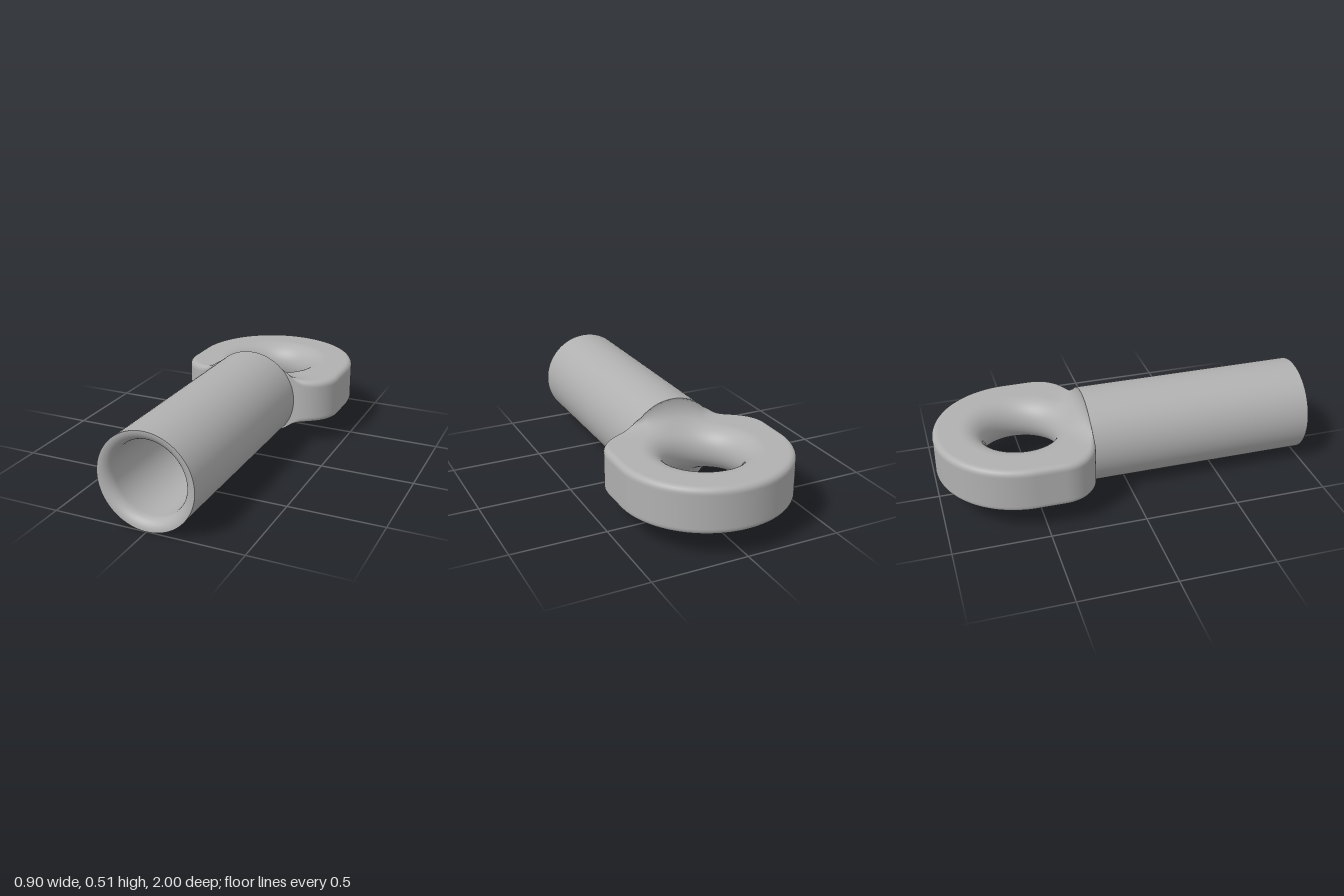
import * as THREE from 'three';

const AXIS_Y = 0.254, TUBE_R = 0.254, BORE_R = 0.195;
const JOINT_Z = -0.21, EYE_Z = -0.548;
const HOLE_R = 0.185, HALF = 0.12, EDGE = 0.03;

// Half thickness of the neck where it meets the tube, by distance from the centre line
function neckHeight(x) {
  const a = Math.abs(x);
  if (a < 0.17) return Math.sqrt(TUBE_R * TUBE_R - a * a);
  const t = Math.min(1, (a - 0.17) / 0.23);
  return HALF + 0.068 * (1 - t) ** 2;
}

// Thickness multiplier: a concave fillet rising from the plate to the tube
function neckScale(x, z) {
  const s = THREE.MathUtils.clamp((JOINT_Z - z) / 0.125, 0, 1);
  const fillet = 1 - Math.sqrt(1 - (1 - s) ** 2);
  return 1 + (neckHeight(x) / HALF - 1) * fillet;
}

// Rounded D-shaped plate with a flared hole, swept as cross-sections around the hole
function eyeGeometry() {
  const outline = new THREE.Path();
  outline.absarc(0, 0, 0.452, Math.PI, Math.PI * 2);
  outline.lineTo(0.452, 0.148);
  outline.absarc(0.262, 0.148, 0.19, 0, Math.PI / 2);
  outline.lineTo(-0.262, 0.338);
  outline.absarc(-0.262, 0.148, 0.19, Math.PI / 2, Math.PI);
  outline.closePath();
  const N = 220;
  const rim = outline.getSpacedPoints(N).slice(0, N);
  const positions = [], index = [];
  let M = 0;

  for (const p of rim) {
    const R = p.length(), dx = p.x / R, dz = p.y / R;
    // The rim rounding fades away where the plate joins the tube
    const joint = p.y > 0.2 ? 1 - THREE.MathUtils.smoothstep(Math.abs(p.x), 0.2, 0.3) : 0;
    const d = THREE.MathUtils.lerp(EDGE, 0.002, joint);
    const half = [];
    for (let i = 0; i <= 14; i++) {
      const a = (i / 14) * Math.PI / 2;
      half.push([HOLE_R + HALF * (1 - Math.cos(a)), HALF * Math.sin(a)]);
    }
    const r0 = HOLE_R + HALF, r1 = R - d;
    for (let i = 1; i < 20; i++) half.push([r0 + (r1 - r0) * i / 20, HALF]);
    for (let i = 0; i <= 6; i++) {
      const a = (i / 6) * Math.PI / 2;
      half.push([r1 + d * Math.sin(a), HALF - d + d * Math.cos(a)]);
    }
    half.push([R, HALF - d - 0.006], [R, 0]);
    const ring = [...half, ...half.slice(1, -1).reverse().map(([r, h]) => [r, -h])];
    M = ring.length;
    for (const [r, h] of ring) {
      const x = dx * r, z = EYE_Z + dz * r;
      positions.push(x, AXIS_Y + h * neckScale(x, z), z);
    }
  }

  for (let j = 0; j < N; j++) {
    for (let i = 0; i < M; i++) {
      const j2 = (j + 1) % N, i2 = (i + 1) % M;
      const a = j * M + i, p = j * M + i2, q = j2 * M + i, pq = j2 * M + i2;
      index.push(a, q, p, p, q, pq);
    }
  }
  const g = new THREE.BufferGeometry();
  g.setAttribute('position', new THREE.Float32BufferAttribute(positions, 3));
  g.setIndex(index);
  g.computeVertexNormals();
  return g;
}

export function createModel() {
  const group = new THREE.Group();
  group.name = 'eyeEndFitting';
  const steel = new THREE.MeshStandardMaterial({ color: 0xb0b0b0 });
  steel.name = 'grey steel';

  const add = (name, geometry, y = 0, z = 0) => {
    const mesh = new THREE.Mesh(geometry, steel);
    mesh.name = name;
    mesh.position.set(0, y, z);
    group.add(mesh);
  };
  const lathe = (pts) =>
    new THREE.LatheGeometry(pts.map(([r, z]) => new THREE.Vector2(r, z)), 96).rotateX(Math.PI / 2);

  // Tube wall and its closed rear end
  add('tubeWall', lathe([[TUBE_R, JOINT_Z], [TUBE_R, 1]]), AXIS_Y);
  add('tubeEnd', new THREE.CircleGeometry(TUBE_R, 96).rotateY(Math.PI), AXIS_Y, JOINT_Z);

  // Rounded mouth running into the blind bore
  const lip = TUBE_R - BORE_R, bore = [];
  for (let i = 0; i <= 10; i++) {
    const a = (i / 10) * Math.PI / 2;
    bore.push([TUBE_R - lip * Math.sin(a), 1 - lip * (1 - Math.cos(a))]);
  }
  bore.push([BORE_R, 0.92], [BORE_R, -0.1]);
  add('bore', lathe(bore), AXIS_Y);
  add('boreFloor', new THREE.CircleGeometry(BORE_R, 96), AXIS_Y, -0.1);

  // Eye plate with its blended neck
  add('eye', eyeGeometry());
  return group;
}
